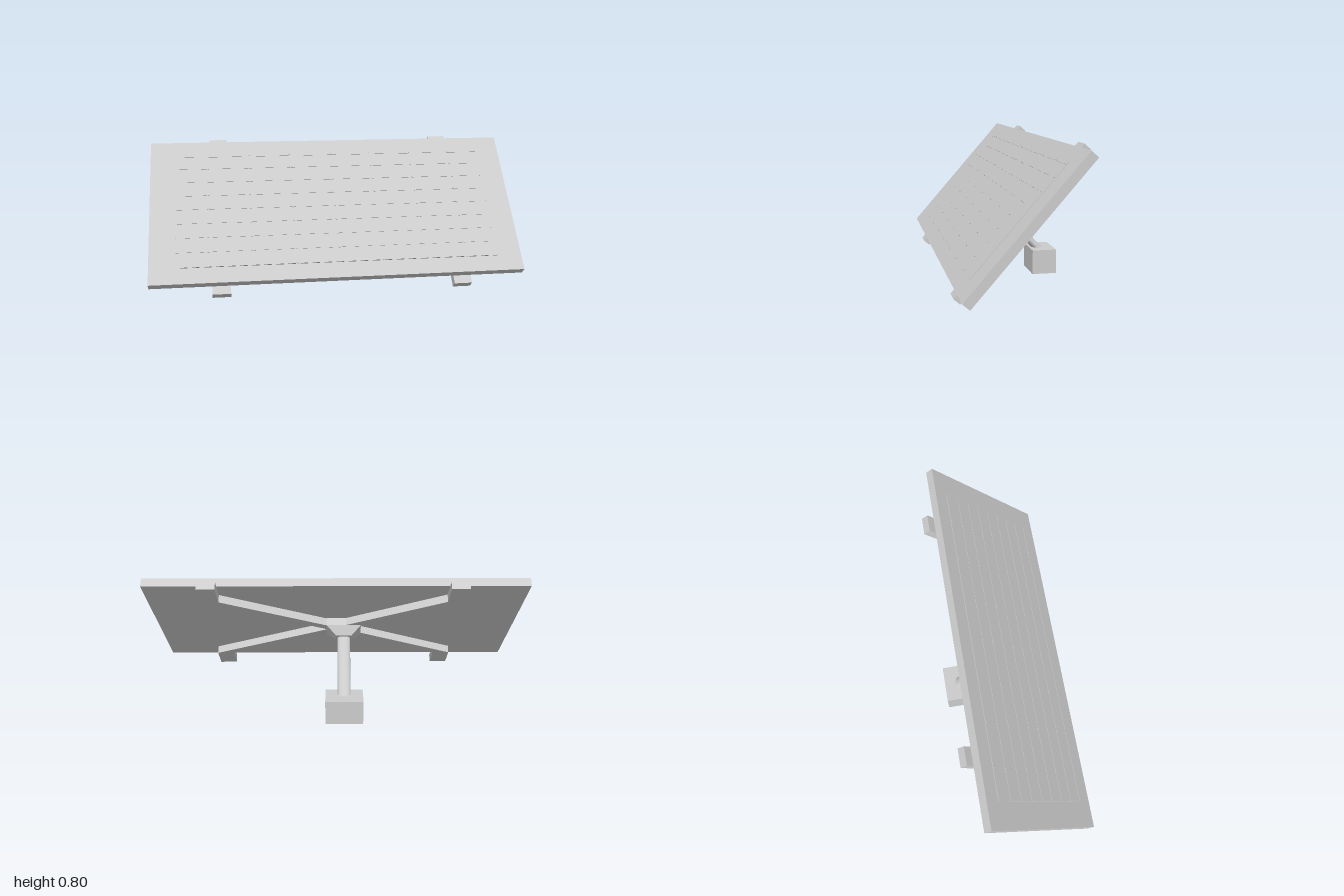
import * as THREE from 'three';

export function createModel() {
  const model = new THREE.Group();
  model.name = 'tiltedPanelOnPost';
  const grey = new THREE.MeshStandardMaterial({ color: 0xcccccc });

  function add(parent, name, geometry, x = 0, y = 0, z = 0) {
    const mesh = new THREE.Mesh(geometry, grey);
    mesh.name = name;
    mesh.position.set(x, y, z);
    parent.add(mesh);
    return mesh;
  }

  // Tilted head: local z = 0 is the back face of the panel
  const head = new THREE.Group();
  head.name = 'panelHead';
  head.position.set(0, 0.439, 0.0275);
  head.rotation.x = -0.717;
  model.add(head);

  add(head, 'panel', new THREE.BoxGeometry(2, 0.86, 0.046), 0, 0, 0.023);

  // Thin cell sheet with raised cross bars and small contact studs
  add(head, 'cellSheet', new THREE.BoxGeometry(1.724, 0.684, 0.004), 0, 0, 0.048);
  const stud = new THREE.CylinderGeometry(0.006, 0.006, 0.004, 8).rotateX(Math.PI / 2);
  for (let row = 0; row < 9; row++) {
    const y = -0.338 + row * 0.0845;
    const height = row === 8 ? 0.02 : 0.006;
    add(head, 'cellBar', new THREE.BoxGeometry(1.724, height, 0.003), 0, y, 0.0505);
    for (let col = -3; col <= 3; col++) add(head, 'contactStud', stud, col * 0.231, y, 0.052);
  }

  // Four cranked arms running from the hub past the long edges
  const half = 0.048;
  for (const endX of [0.66, -0.63]) {
    for (const side of [1, -1]) {
      const outline = [
        [-half, 0], [endX - half, 0.335], [endX - half, 0.476],
        [endX + half, 0.476], [endX + half, 0.335], [half, 0],
      ].map(([x, y]) => new THREE.Vector2(x, y * side));
      const arm = new THREE.ExtrudeGeometry(new THREE.Shape(outline), { depth: 0.043, bevelEnabled: false });
      add(head, 'supportArm', arm, 0, 0, -0.043);
    }
  }

  // Hub: square block with a tapered back
  const hubX = -0.043;
  add(head, 'hubBlock', new THREE.BoxGeometry(0.19, 0.124, 0.044), hubX, -0.005, -0.022);
  const taper = new THREE.CylinderGeometry(0.062 * Math.SQRT2, 0.029 * Math.SQRT2, 0.047, 4, 1)
    .rotateY(Math.PI / 4).rotateX(Math.PI / 2).scale(1.53, 1, 1).toNonIndexed();
  taper.computeVertexNormals();
  add(head, 'hubTaper', taper, hubX, -0.006, -0.0675);

  // Oval post from the hub down into the base
  const top = new THREE.Vector3(hubX, 0.392, -0.011);
  const bottom = new THREE.Vector3(hubX, 0.1, -0.289);
  const axis = top.clone().sub(bottom);
  const post = add(model, 'post',
    new THREE.CylinderGeometry(0.0215, 0.0215, axis.length(), 32).scale(1.65, 1, 1));
  post.position.copy(top).add(bottom).multiplyScalar(0.5);
  post.quaternion.setFromUnitVectors(new THREE.Vector3(0, 1, 0), axis.normalize());

  // Base block
  add(model, 'base', new THREE.BoxGeometry(0.205, 0.137, 0.137), hubX, 0.0685, -0.277);

  return model;
}
